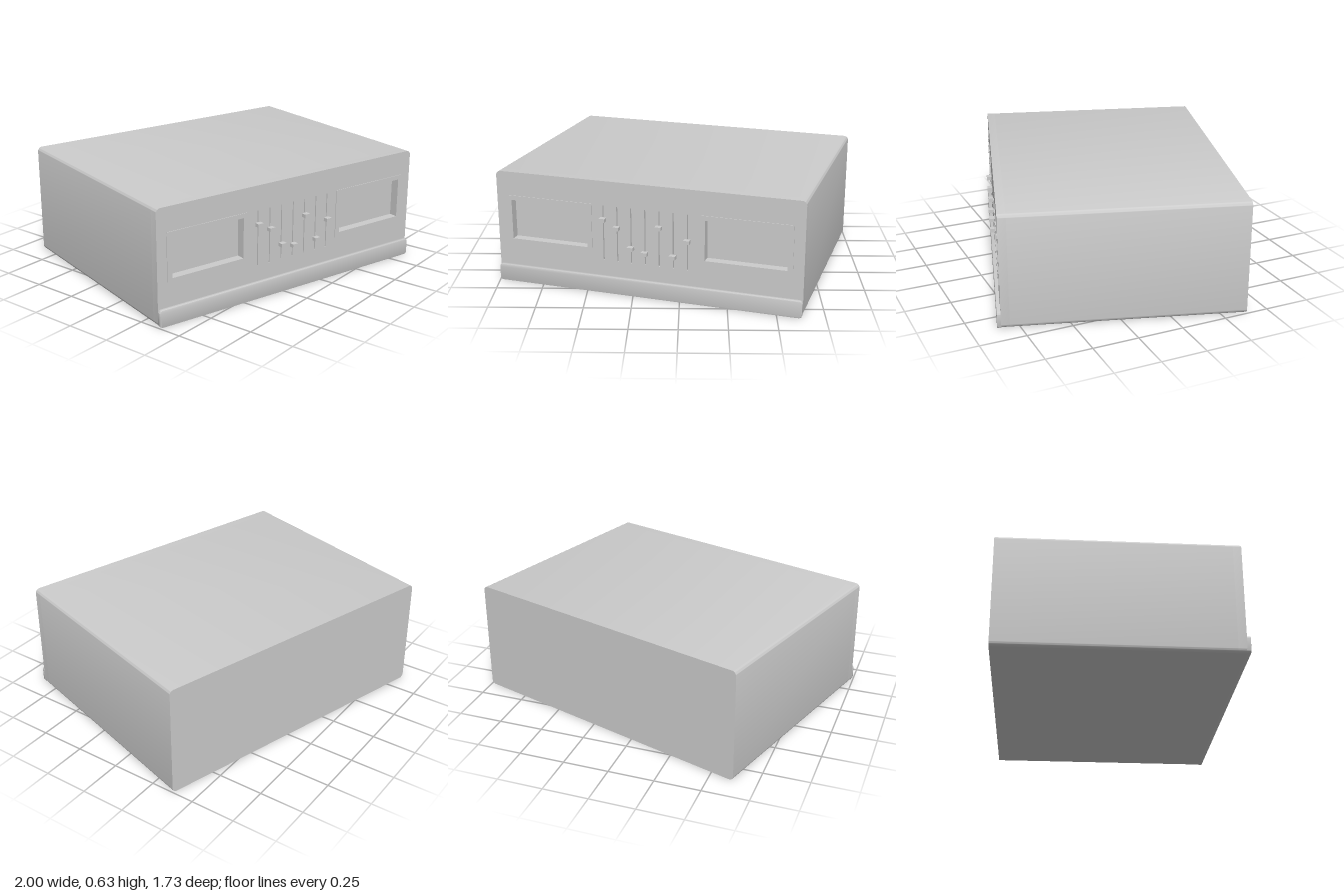
import * as THREE from 'three';
import { toCreasedNormals } from 'three/addons/utils/BufferGeometryUtils.js';

const W = 1.697, H = 0.626, BACK = -0.65, PANEL = 0.63, FRONT = 0.65;
const material = new THREE.MeshStandardMaterial({ color: 0xcccccc });

// Rectangle outline with rounded corners, used for shapes and holes
function roundedRect(Type, x, y, w, h, r) {
  const s = new Type();
  if (!r) {
    s.moveTo(x, y).lineTo(x + w, y).lineTo(x + w, y + h).lineTo(x, y + h).lineTo(x, y);
    return s;
  }
  s.moveTo(x + r, y);
  s.absarc(x + w - r, y + r, r, -Math.PI / 2, 0);
  s.absarc(x + w - r, y + h - r, r, 0, Math.PI / 2);
  s.absarc(x + r, y + h - r, r, Math.PI / 2, Math.PI);
  s.absarc(x + r, y + r, r, Math.PI, Math.PI * 1.5);
  return s;
}

function extrude(name, shape, z0, z1, bevel = 0) {
  const geo = new THREE.ExtrudeGeometry(shape, {
    depth: z1 - z0 - 2 * bevel, curveSegments: 6, bevelEnabled: bevel > 0,
    bevelSize: bevel, bevelThickness: bevel, bevelOffset: -bevel, bevelSegments: 2,
  });
  geo.translate(0, 0, z0 + bevel);
  const mesh = new THREE.Mesh(toCreasedNormals(geo, 0.6), material);
  mesh.name = name;
  return mesh;
}

export function createModel() {
  const model = new THREE.Group();
  model.name = 'audioUnit';
  const unit = new THREE.Group();
  unit.name = 'cabinet';
  unit.rotation.y = -0.2915; // the cabinet stands turned on its base
  model.add(unit);

  // Case behind the front panel
  const seam = PANEL - 0.045;
  unit.add(extrude('case', roundedRect(THREE.Shape, -W / 2, 0, W, H, 0.025), BACK, seam));

  // Front panel, cut for the two windows and seven slider slots
  const panel = roundedRect(THREE.Shape, -W / 2, 0, W, H, 0.025);
  const windowX = 0.545, windowW = 0.436, windowY = 0.247, windowH = 0.222;
  for (const side of [-1, 1]) {
    panel.holes.push(roundedRect(THREE.Path, side * windowX - windowW / 2, windowY, windowW, windowH, 0));
  }
  const knobHeights = [0.415, 0.375, 0.27, 0.25, 0.402, 0.25, 0.345];
  const sliderX = i => (i - 3) * 0.0777;
  knobHeights.forEach((_, i) => {
    panel.holes.push(roundedRect(THREE.Path, sliderX(i) - 0.003, 0.182, 0.006, 0.308, 0));
  });
  unit.add(extrude('frontPanel', panel, seam, PANEL));

  // Thin raised frames around the windows
  for (const side of [-1, 1]) {
    const frame = roundedRect(THREE.Shape, side * windowX - 0.246, 0.22, 0.492, 0.274, 0);
    frame.holes.push(roundedRect(THREE.Path, side * windowX - windowW / 2, windowY, windowW, windowH, 0));
    unit.add(extrude(side < 0 ? 'rightWindowFrame' : 'leftWindowFrame', frame, PANEL, PANEL + 0.004));
  }

  // Slider knobs
  knobHeights.forEach((y, i) => {
    const knob = new THREE.Mesh(new THREE.BoxGeometry(0.033, 0.02, 0.03), material);
    knob.position.set(sliderX(i), y, PANEL + 0.013);
    knob.name = 'sliderKnob' + (i + 1);
    unit.add(knob);
  });

  // Projecting strip along the foot of the panel
  unit.add(extrude('baseStrip', roundedRect(THREE.Shape, -W / 2, 0, W, 0.095, 0.018), PANEL - 0.004, FRONT, 0.004));

  return model;
}
